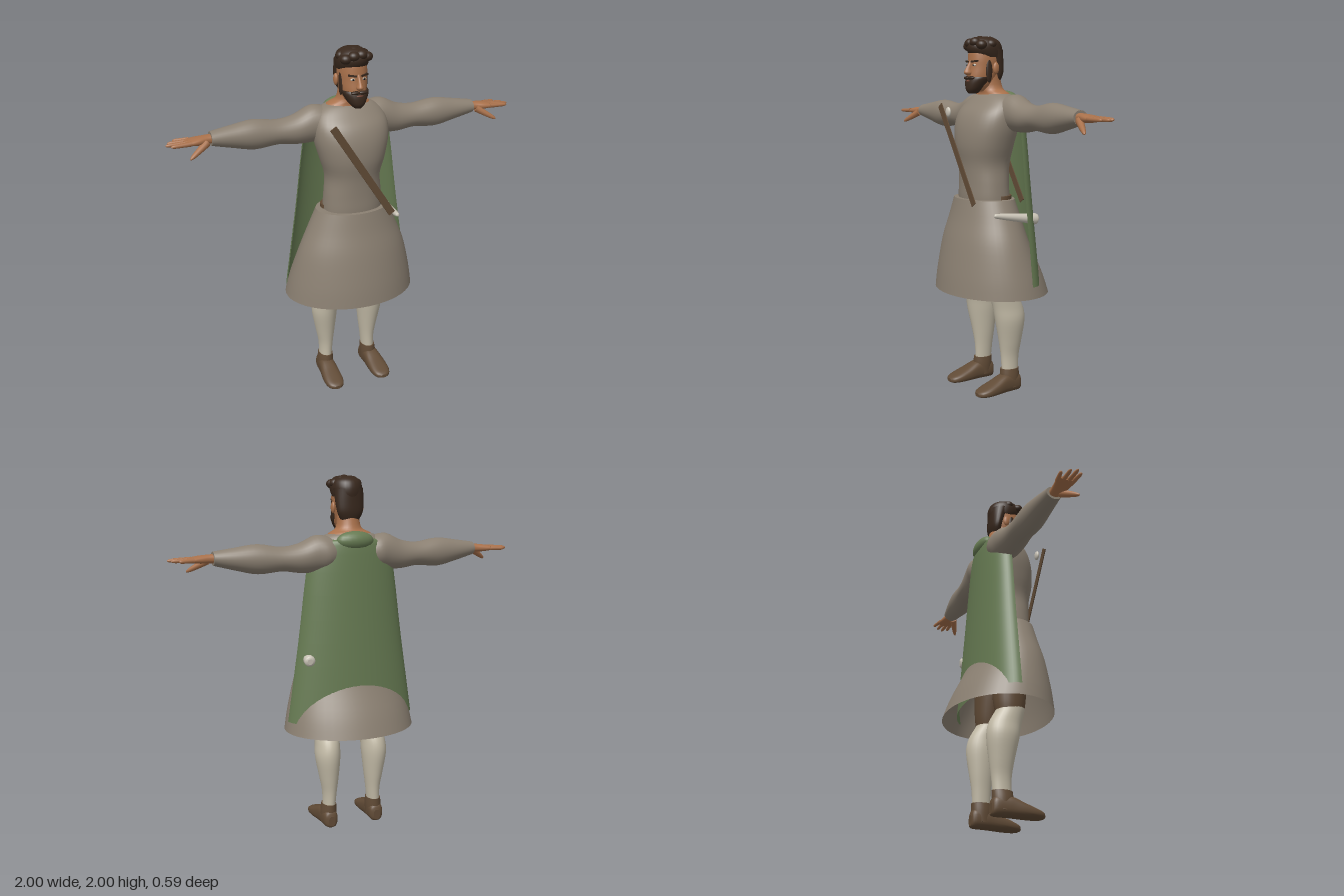
import * as THREE from 'three';

const mat = (name, color, side = THREE.FrontSide) => {
  const m = new THREE.MeshStandardMaterial({ color, side });
  m.name = name;
  return m;
};

// Uniform Catmull-Rom blend of two neighbouring cross-sections
function blend(s, i, t) {
  const a = s[Math.max(i - 1, 0)], b = s[i], c = s[i + 1], d = s[Math.min(i + 2, s.length - 1)];
  return b.map((p1, k) => {
    const m0 = (c[k] - a[k]) / 2, m1 = (d[k] - p1) / 2, t2 = t * t, t3 = t2 * t;
    return (2 * t3 - 3 * t2 + 1) * p1 + (t3 - 2 * t2 + t) * m0 + (3 * t2 - 2 * t3) * c[k] + (t3 - t2) * m1;
  });
}

// Skin over oval sections along an axis (0 x, 1 y, 2 z).
// Section: [position, centre u, radius u, centre v, radius v], u and v being the next two axes in turn.
function loft(axis, sections, { n = 2, seg = 28, step = 4, caps = [true, true], start = 0, arc = Math.PI * 2 } = {}) {
  const rows = [];
  for (let i = 0; i < sections.length - 1; i++)
    for (let k = 0; k < step; k++) rows.push(blend(sections, i, k / step));
  rows.push(sections[sections.length - 1]);
  const full = arc > 6.28, cols = full ? seg : seg + 1, pos = [], idx = [];
  const put = (w, u, v) => {
    const p = [0, 0, 0];
    p[axis] = w; p[(axis + 1) % 3] = u; p[(axis + 2) % 3] = v;
    pos.push(...p);
  };
  const pw = (x) => Math.sign(x) * Math.abs(x) ** (2 / n);
  const ring = ([w, cu, ru, cv, rv]) => {
    for (let j = 0; j < cols; j++) {
      const a = start + (arc * j) / seg;
      put(w, cu + ru * pw(Math.cos(a)), cv + rv * pw(Math.sin(a)));
    }
  };
  rows.forEach(ring);
  for (let i = 0; i < rows.length - 1; i++)
    for (let j = 0; j < seg; j++) {
      const a = i * cols + j, b = i * cols + ((j + 1) % cols), c = b + cols, d = a + cols;
      idx.push(a, b, c, a, c, d);
    }
  [rows[0], rows[rows.length - 1]].forEach((r, e) => {
    if (!caps[e] || !full) return;
    const base = pos.length / 3;
    ring(r);
    put(r[0], r[1], r[3]);
    for (let j = 0; j < seg; j++) {
      const a = base + j, b = base + ((j + 1) % seg);
      idx.push(base + seg, ...(e ? [a, b] : [b, a]));
    }
  });
  const g = new THREE.BufferGeometry();
  g.setAttribute('position', new THREE.Float32BufferAttribute(pos, 3));
  g.setIndex(idx);
  g.computeVertexNormals();
  return g;
}

const ball = (x, y, z, rx, ry, rz) => new THREE.SphereGeometry(1, 20, 14).scale(rx, ry, rz).translate(x, y, z);

// Tapered rounded finger between two points
function finger(p, q, r0, r1) {
  const a = new THREE.Vector3(...p), d = new THREE.Vector3(...q).sub(a), len = d.length();
  const g = loft(1, [[0, 0, r0, 0, r0], [len * 0.55, 0, (r0 + r1) / 2, 0, (r0 + r1) / 2],
    [len * 0.88, 0, r1, 0, r1], [len, 0, r1 * 0.3, 0, r1 * 0.3]], { seg: 10, step: 3 });
  g.applyQuaternion(new THREE.Quaternion().setFromUnitVectors(new THREE.Vector3(0, 1, 0), d.normalize()));
  return g.translate(a.x, a.y, a.z);
}

function mirrored(geo) {
  const g = geo.clone().scale(-1, 1, 1), ix = g.index;
  for (let i = 0; i < ix.count; i += 3) {
    const t = ix.getX(i);
    ix.setX(i, ix.getX(i + 1));
    ix.setX(i + 1, t);
  }
  g.computeVertexNormals();
  return g;
}

export function createModel() {
  const model = new THREE.Group();
  model.name = 'cloakedTraveller';
  const cloth = mat('greyCloth', 0x8b8072, THREE.DoubleSide);
  const green = mat('greenCape', 0x667a52, THREE.DoubleSide);
  const skin = mat('skin', 0xa9714b);
  const hair = mat('darkHair', 0x38281d);
  const wool = mat('creamWool', 0xc2baa6);
  const leather = mat('brownLeather', 0x614b36);
  const horn = mat('paleHorn', 0xc9c3b6);
  const eyeWhite = mat('eyeWhite', 0xcfc4b5);
  const dark = mat('darkIris', 0x1e1611);
  const lip = mat('lips', 0x7d4a3a);

  const add = (name, geo, m) => {
    const mesh = new THREE.Mesh(geo, m);
    mesh.name = name;
    model.add(mesh);
    return mesh;
  };
  const pair = (name, geo, m) => {
    add(name + 'Left', geo, m);
    add(name + 'Right', mirrored(geo), m);
  };

  // Tunic body, sleeves and flared skirt
  add('tunicBody', loft(1, [[1.05, 0.045, 0.125, 0, 0.168], [1.12, 0.05, 0.125, 0, 0.168], [1.2, 0.052, 0.123, 0, 0.162],
    [1.3, 0.05, 0.13, 0, 0.155], [1.4, 0.049, 0.146, 0, 0.183], [1.5, 0.036, 0.153, 0, 0.208], [1.58, 0.023, 0.138, 0, 0.21],
    [1.64, 0, 0.11, 0, 0.19], [1.675, -0.008, 0.085, 0, 0.15], [1.688, -0.01, 0.07, 0, 0.115]], { n: 2.2, seg: 36 }), cloth);
  pair('sleeve', loft(0, [[0.06, 1.585, 0.07, -0.02, 0.07], [0.14, 1.585, 0.092, -0.03, 0.095], [0.21, 1.583, 0.1, -0.03, 0.088],
    [0.3, 1.563, 0.08, -0.028, 0.081], [0.4, 1.562, 0.066, -0.026, 0.073], [0.53, 1.566, 0.08, -0.021, 0.072],
    [0.65, 1.571, 0.06, -0.016, 0.06], [0.765, 1.577, 0.037, -0.007, 0.045]]), cloth);
  add('skirt', loft(1, [[0.585, 0.003, 0.294, 0, 0.378], [0.7, 0.018, 0.266, 0, 0.356], [0.87, 0.043, 0.211, 0, 0.31],
    [1.0, 0.046, 0.176, 0, 0.257], [1.11, 0.05, 0.15, 0, 0.21]], { seg: 48, caps: [false, true] }), cloth);

  // Half-round cape with a rolled hood
  add('cape', loft(1, [[0.65, -0.02, 0.165, 0, 0.373], [1.1, -0.02, 0.139, 0, 0.307], [1.58, -0.02, 0.111, 0, 0.238],
    [1.66, -0.025, 0.09, 0, 0.15]], { seg: 36, start: Math.PI / 2, arc: Math.PI }), green);
  add('hood', ball(0, 1.652, -0.092, 0.108, 0.052, 0.05), green);

  // Trousers, stockings and shoes
  add('trouserHips', loft(1, [[0.9, 0.03, 0.1, 0, 0.17], [1.0, 0.03, 0.11, 0, 0.176], [1.13, 0.02, 0.1, 0, 0.176]]), leather);
  pair('trouserLeg', loft(1, [[0.57, 0.013, 0.078, 0.135, 0.068], [0.64, 0.015, 0.09, 0.13, 0.08], [0.8, 0.02, 0.1, 0.115, 0.098],
    [1.0, 0.03, 0.11, 0.09, 0.09]]), leather);
  pair('stocking', loft(1, [[0.09, -0.033, 0.05, 0.14, 0.035], [0.2, -0.035, 0.055, 0.135, 0.04], [0.3, -0.035, 0.07, 0.138, 0.055],
    [0.42, -0.03, 0.09, 0.143, 0.071], [0.5, -0.016, 0.091, 0.14, 0.069], [0.58, 0.015, 0.08, 0.135, 0.07], [0.615, 0.015, 0.082, 0.133, 0.071]]), wool);
  pair('shoe', loft(2, [[-0.096, 0.14, 0.02, 0.04, 0.03], [-0.08, 0.141, 0.04, 0.05, 0.05], [-0.02, 0.143, 0.046, 0.054, 0.054],
    [0.02, 0.145, 0.049, 0.053, 0.053], [0.08, 0.148, 0.055, 0.04, 0.04], [0.14, 0.15, 0.055, 0.029, 0.028],
    [0.18, 0.15, 0.042, 0.023, 0.019], [0.197, 0.15, 0.018, 0.02, 0.01]], { n: 2.6 }), leather);
  pair('shoeCuff', loft(1, [[0.03, -0.03, 0.058, 0.142, 0.045], [0.09, -0.03, 0.059, 0.14, 0.046], [0.135, -0.032, 0.057, 0.138, 0.041]]), leather);

  // Shoulder strap: a flat band in front and one behind
  for (const [name, z] of [['strapFront', 0.225], ['strapBack', -0.095]]) {
    const strap = add(name, new THREE.BoxGeometry(0.04, 0.63, 0.005), leather);
    strap.position.set(-0.008, 1.36, z);
    strap.rotation.z = Math.atan2(0.34, 0.52);
  }
  add('strapStud', ball(-0.15, 1.585, 0.19, 0.022, 0.028, 0.012), horn);

  // Drinking horn on the left hip
  const hornMesh = add('hipHorn', loft(2, [[-0.135, 0, 0.016, 0, 0.016], [-0.125, 0, 0.03, 0, 0.03], [-0.09, 0, 0.031, 0, 0.031],
    [-0.07, 0, 0.026, 0, 0.026], [0.03, 0, 0.02, 0, 0.02], [0.12, 0, 0.013, 0, 0.013], [0.135, 0, 0.005, 0, 0.005]], { seg: 16 }), horn);
  hornMesh.position.set(0.257, 1.022, 0.012);
  hornMesh.rotation.set(-0.13, -0.11, 0);

  // Hands
  pair('hand', loft(0, [[0.72, 1.577, 0.026, -0.006, 0.03], [0.78, 1.577, 0.023, -0.005, 0.031], [0.83, 1.575, 0.021, -0.002, 0.042],
    [0.875, 1.574, 0.015, -0.003, 0.048], [0.905, 1.574, 0.008, -0.003, 0.043]], { n: 2.4 }), skin);
  [[-0.042, -0.06, 0.95], [-0.016, -0.022, 0.985], [0.011, 0.012, 1], [0.035, 0.042, 0.978]].forEach(([z0, z1, x], i) =>
    pair('finger' + (i + 1), finger([0.87, 1.575, z0], [x, 1.573, z1], 0.013, 0.009), skin));
  pair('thumb', finger([0.79, 1.565, 0.02], [0.892, 1.505, 0.072], 0.021, 0.01), skin);

  // Neck and head
  add('neck', loft(1, [[1.66, -0.012, 0.085, 0, 0.155], [1.69, -0.008, 0.076, 0, 0.118], [1.72, 0.007, 0.068, 0, 0.07],
    [1.8, 0.02, 0.06, 0, 0.062]]), skin);
  add('head', loft(1, [[1.7, 0.105, 0.04, 0, 0.03], [1.73, 0.078, 0.068, 0, 0.053], [1.78, 0.06, 0.088, 0, 0.068],
    [1.83, 0.048, 0.094, 0, 0.075], [1.88, 0.045, 0.095, 0, 0.077], [1.93, 0.042, 0.088, 0, 0.07], [1.97, 0.03, 0.05, 0, 0.045]], { n: 2.15 }), skin);
  add('nose', loft(1, [[1.787, 0.148, 0.012, 0, 0.012], [1.8, 0.15, 0.028, 0, 0.019], [1.82, 0.146, 0.024, 0, 0.013],
    [1.85, 0.136, 0.015, 0, 0.009], [1.87, 0.13, 0.01, 0, 0.01]], { seg: 16 }), skin);
  pair('ear', ball(0.083, 1.826, 0.025, 0.012, 0.032, 0.019), skin);
  pair('eye', ball(0.031, 1.842, 0.133, 0.014, 0.007, 0.008), eyeWhite);
  pair('iris', ball(0.031, 1.842, 0.138, 0.006, 0.006, 0.004), dark);
  pair('brow', new THREE.BoxGeometry(0.044, 0.009, 0.014).rotateY(0.3).rotateZ(0.12).translate(0.034, 1.862, 0.134), hair);

  // Beard, moustache and sideburns
  add('beard', loft(1, [[1.688, 0.125, 0.022, 0, 0.02], [1.71, 0.113, 0.047, 0, 0.042], [1.74, 0.1, 0.06, 0, 0.06],
    [1.765, 0.09, 0.064, 0, 0.071], [1.778, 0.082, 0.066, 0, 0.072]], { n: 2.2 }), hair);
  pair('moustache', ball(0.02, 1.773, 0.146, 0.028, 0.01, 0.014).rotateZ(0), hair);
  pair('sideburn', ball(0.07, 1.815, 0.062, 0.01, 0.068, 0.02), hair);
  add('mouth', ball(0, 1.756, 0.153, 0.02, 0.005, 0.006), lip);

  // Hair: back, crown and swept tufts
  add('hairBack', loft(1, [[1.755, -0.012, 0.03, 0, 0.05], [1.8, -0.018, 0.036, 0, 0.073], [1.86, -0.008, 0.047, 0, 0.081],
    [1.93, 0.01, 0.064, 0, 0.084]]), hair);
  add('hairCrown', loft(1, [[1.885, 0.03, 0.085, 0, 0.081], [1.91, 0.041, 0.099, 0, 0.086], [1.94, 0.047, 0.102, 0, 0.087],
    [1.97, 0.048, 0.088, 0, 0.077], [1.99, 0.05, 0.058, 0, 0.05], [1.996, 0.05, 0.025, 0, 0.025]]), hair);
  [[-0.06, 1.945, 0.11], [-0.022, 1.96, 0.125], [0.022, 1.965, 0.122], [0.06, 1.95, 0.105], [-0.06, 1.955, 0.05],
    [0.062, 1.955, 0.045], [0, 1.974, 0.075], [0.03, 1.97, 0.03], [-0.03, 1.968, 0.03]].forEach(([x, y, z], i) =>
    add('hairTuft' + (i + 1), ball(x, y, z, 0.032, 0.026, 0.03), hair));

  return model;
}
